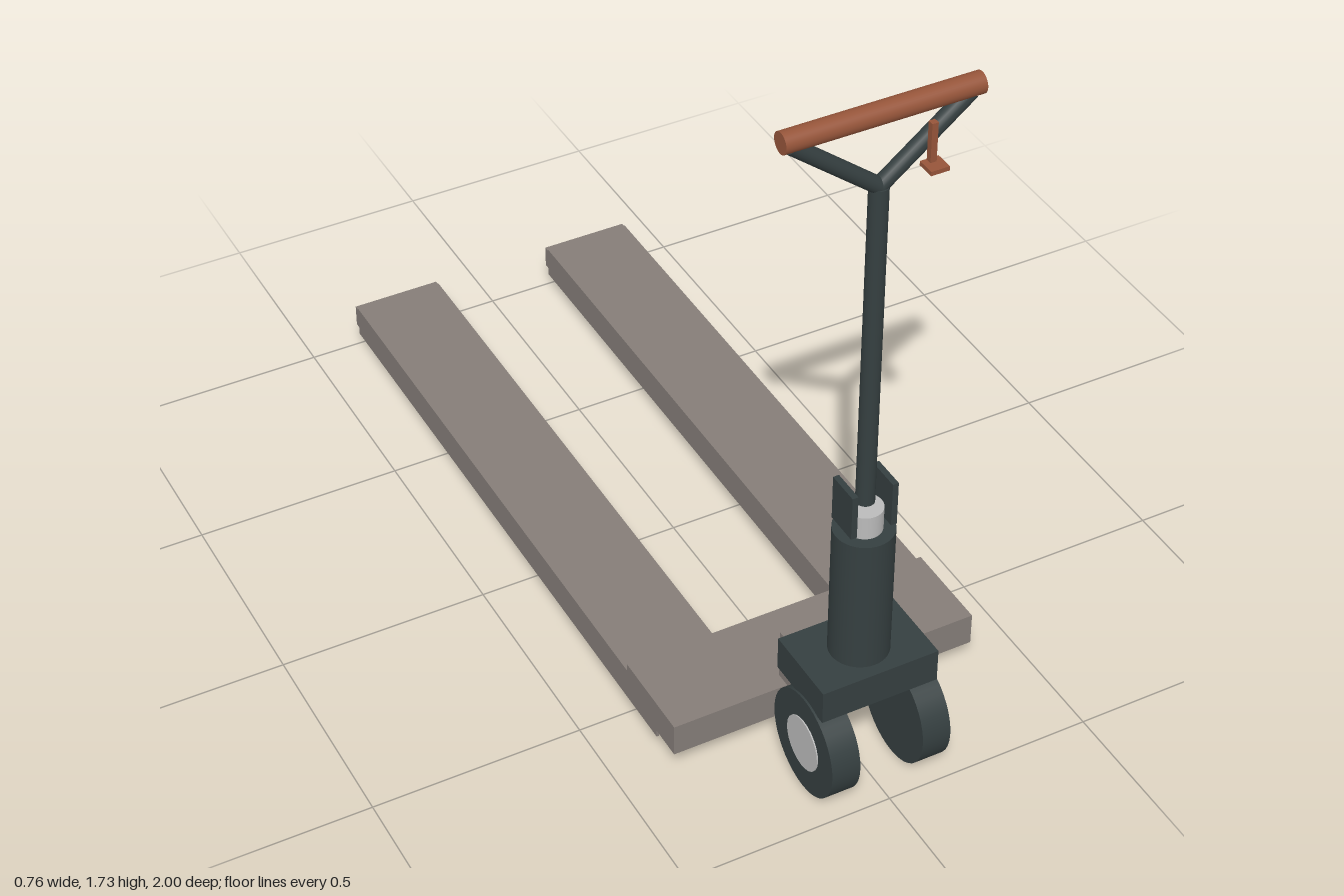
import * as THREE from 'three';

export function createModel() {
  const root = new THREE.Group();
  root.name = 'palletTruck';
  const mat = (name, color) => {
    const m = new THREE.MeshStandardMaterial({ color });
    m.name = name;
    return m;
  };
  const steel = mat('warm grey steel', 0x857d78);
  const dark = mat('dark slate', 0x353f40);
  const silver = mat('silver', 0xbababa);
  const brown = mat('rust brown', 0x96553a);

  const add = (name, geometry, material, x = 0, y = 0, z = 0) => {
    const m = new THREE.Mesh(geometry, material);
    m.name = name;
    m.position.set(x, y, z);
    root.add(m);
    return m;
  };
  // box given by its min and max on each axis
  const box = (name, material, x0, x1, y0, y1, z0, z1) =>
    add(name, new THREE.BoxGeometry(Math.abs(x1 - x0), y1 - y0, z1 - z0), material,
      (x0 + x1) / 2, (y0 + y1) / 2, (z0 + z1) / 2);
  // round bar between two points
  const rod = (name, material, r, a, b, sides = 32) => {
    const p = new THREE.Vector3(...a), q = new THREE.Vector3(...b);
    const m = add(name, new THREE.CylinderGeometry(r, r, p.distanceTo(q), sides), material);
    m.position.copy(p).add(q).multiplyScalar(0.5);
    m.quaternion.setFromUnitVectors(new THREE.Vector3(0, 1, 0), q.sub(p).normalize());
    return m;
  };

  const mastZ = 0.847;

  // Cross frame joining the forks, and its upright bracket
  box('crossFrame', steel, -0.378, 0.378, 0.06, 0.141, 0.495, 0.717);
  box('bracket', steel, -0.098, 0.098, 0.1, 0.268, 0.68, 0.733);

  for (const s of [-1, 1]) {
    // Fork: inverted channel, closed at the tip, with a load roller
    box('forkTop', steel, s * 0.155, s * 0.378, 0.108, 0.122, -0.985, 0.635);
    box('forkInnerLip', steel, s * 0.155, s * 0.161, 0.042, 0.108, -0.985, 0.635);
    box('forkOuterLip', steel, s * 0.372, s * 0.378, 0.042, 0.108, -0.985, 0.635);
    box('forkTip', steel, s * 0.155, s * 0.378, 0.062, 0.118, -1, -0.982);
    rod('loadRoller', dark, 0.052, [s * 0.219, 0.052, -0.815], [s * 0.315, 0.052, -0.815]);

    // Steering wheel with a hub on the outer side
    rod('steerWheel', dark, 0.126, [s * 0.078, 0.126, 0.874], [s * 0.147, 0.126, 0.874], 40);
    rod('wheelHub', silver, 0.065, [s * 0.12, 0.126, 0.874], [s * 0.15, 0.126, 0.874], 24);

    // Yoke ears and handle braces
    box('yokeEar', dark, s * 0.041, s * 0.055, 0.68, 0.79, 0.807, 0.887);
    rod('handleBrace', dark, 0.018, [0, 1.535, mastZ], [s * 0.2, 1.694, mastZ], 20);
  }

  // Pump and mast
  box('pumpBase', dark, -0.142, 0.142, 0.242, 0.325, 0.748, 0.942);
  rod('pumpCylinder', dark, 0.068, [0, 0.325, mastZ], [0, 0.663, mastZ], 40);
  rod('piston', silver, 0.041, [0, 0.66, mastZ], [0, 0.72, mastZ]);
  rod('mastTube', dark, 0.021, [0, 0.735, mastZ], [0, 1.535, mastZ]);

  // Handle grip and release lever
  rod('handleGrip', brown, 0.024, [-0.222, 1.707, mastZ], [0.222, 1.707, mastZ]);
  box('leverArm', brown, 0.091, 0.105, 1.58, 1.672, 0.87, 0.884);
  box('leverPad', brown, 0.077, 0.119, 1.571, 1.581, 0.868, 0.91);

  return root;
}
